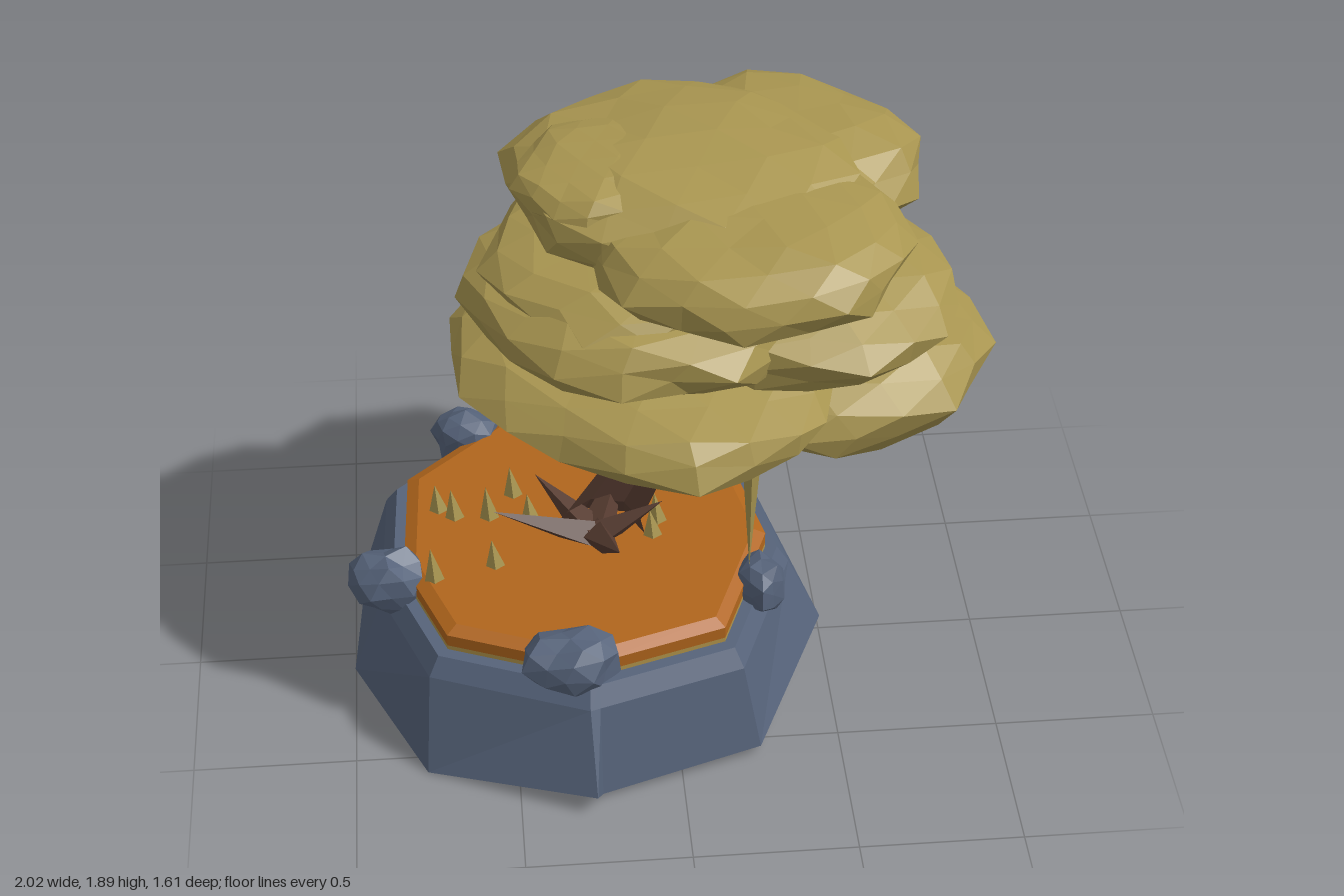
import * as THREE from 'three';

const mat = (name, color) => {
  const m = new THREE.MeshStandardMaterial({ color });
  m.name = name;
  return m;
};

export function createModel() {
  const model = new THREE.Group();
  const leaf = mat('olive foliage', 0xa89550);
  const leafDark = mat('shaded foliage', 0x625f3c);
  const stone = mat('slate stone', 0x56637a);
  const soilMat = mat('orange soil', 0xb0651c);
  const sand = mat('sand layer', 0xb0934a);
  const bark = mat('dark bark', 0x573c31);

  const add = (name, geo, material) => {
    const mesh = new THREE.Mesh(geo, material);
    mesh.name = name;
    model.add(mesh);
    return mesh;
  };

  // Faceted solid through a stack of rings, closed at both ends
  const loft = (rings) => {
    const pos = [];
    const tri = (...pts) => pts.forEach((p) => pos.push(...p));
    const centre = (r) => [0, 1, 2].map((k) => r.reduce((s, p) => s + p[k], 0) / r.length);
    const n = rings[0].length;
    const low = rings[0], high = rings[rings.length - 1];
    for (let i = 0; i < n; i++) {
      const j = (i + 1) % n;
      for (let k = 0; k + 1 < rings.length; k++) {
        const a = rings[k], b = rings[k + 1];
        tri(a[i], a[j], b[j]);
        tri(a[i], b[j], b[i]);
      }
      tri(centre(low), low[j], low[i]);
      tri(centre(high), high[i], high[j]);
    }
    const geo = new THREE.BufferGeometry();
    geo.setAttribute('position', new THREE.Float32BufferAttribute(pos, 3));
    geo.computeVertexNormals();
    return geo;
  };

  // Faceted, blunt-edged ellipsoid with a smooth rule of bumps
  const blob = (radii, seed, detail, bump) => {
    const geo = new THREE.IcosahedronGeometry(1, detail);
    geo.rotateY(seed * 1.7);
    const p = geo.attributes.position;
    for (let i = 0; i < p.count; i++) {
      const x = p.getX(i), y = p.getY(i), z = p.getZ(i);
      const f = 1 + bump * (Math.sin(5.3 * x + seed * 2.1) * Math.cos(4.7 * z - seed)
        + 0.6 * Math.sin(7.9 * y + 6.1 * x - 5.2 * z + seed * 3.3));
      const blunt = Math.sign(y) * Math.abs(y) ** 0.82;
      p.setXYZ(i, x * f * radii[0], blunt * f * radii[1], z * f * radii[2]);
    }
    geo.computeVertexNormals();
    return geo;
  };

  // Cone from a base point to a tip
  const spike = (name, from, to, radius, material, sides = 5) => {
    const a = new THREE.Vector3(...from), d = new THREE.Vector3(...to).sub(a);
    const geo = new THREE.ConeGeometry(radius, d.length(), sides).toNonIndexed();
    geo.computeVertexNormals();
    const mesh = add(name, geo, material);
    mesh.position.copy(a).addScaledVector(d, 0.5);
    mesh.quaternion.setFromUnitVectors(new THREE.Vector3(0, 1, 0), d.normalize());
  };

  // Stone island with a ledge at the front
  const foot = [[-1, 0.05, 0.13], [-0.78, 0, 0.57], [-0.27, 0.07, 0.8], [-0.25, 0.02, 0.73], [0.25, 0.03, 0.57],
    [0.5, 0.07, 0.02], [0.39, 0.05, -0.45], [0.02, 0.02, -0.73], [-0.57, 0, -0.78], [-0.96, 0.03, -0.44]];
  const rim = [[-0.89, 0.1], [-0.75, 0.47], [-0.28, 0.66], [-0.25, 0.65], [0.19, 0.51],
    [0.38, 0.02], [0.3, -0.39], [0.01, -0.65], [-0.54, -0.7], [-0.87, -0.39]];
  const ring = (s, y) => rim.map(([x, z]) => [-0.25 + (x + 0.25) * s, y, z * s]);
  add('stoneBase', loft([foot, ring(1.02, 0.31), ring(0.96, 0.37)]), stone);
  add('sandLayer', loft([ring(0.9, 0.35), ring(0.9, 0.385)]), sand);
  add('soil', loft([ring(0.9, 0.385), ring(0.9, 0.425), ring(0.84, 0.445)]), soilMat);

  // Boulders around the rim
  const boulders = [
    [-0.88, 0.4, 0.12, 0.12, 0.1, 0.1], [-0.61, 0.41, -0.6, 0.11, 0.09, 0.09], [-0.33, 0.41, 0.55, 0.15, 0.09, 0.11],
    [0.28, 0.4, 0.22, 0.08, 0.09, 0.1], [0.12, 0.41, -0.5, 0.11, 0.09, 0.13]];
  boulders.forEach(([x, y, z, ...r], i) => {
    add('boulder', blob(r, i + 1, 1, 0.12), stone).position.set(x, y, z);
  });

  // Leaning trunk: x, y, z, radius of each section
  const sections = [[-0.22, 0.42, 0.01, 0.16], [-0.2, 0.5, 0.01, 0.122], [-0.1, 0.68, 0, 0.1],
    [-0.005, 0.86, -0.02, 0.09], [0.06, 1.02, -0.03, 0.085], [0.14, 1.25, -0.03, 0.075]];
  add('trunk', loft(sections.map(([x, y, z, r]) => Array.from({ length: 7 }, (_, i) => {
    const a = -i * Math.PI * 2 / 7;
    return [x + r * Math.cos(a), y, z - r * Math.sin(a)];
  }))), bark);

  // Pointed roots
  const roots = [[-0.54, 0.58, 0.03], [-0.01, 0.58, 0.02], [-0.16, 0.57, 0.25],
    [-0.1, 0.58, -0.29], [-0.4, 0.54, -0.2]];
  roots.forEach((tip) => spike('root', [-0.22, 0.44, 0], tip, 0.06, bark, 4));

  // Grass spikes on the soil
  const grass = [[-0.04, 0.01], [-0.02, -0.06], [-0.06, -0.18], [-0.42, -0.1], [-0.47, -0.23], [-0.55, -0.12],
    [-0.71, -0.17], [-0.66, -0.13], [-0.73, 0.17], [-0.54, 0.12]];
  grass.forEach(([x, z], i) => {
    spike('grassSpike', [x, 0.43, z], [x - 0.01, 0.54 + 0.01 * (i % 3), z], 0.036, leaf);
  });

  // Stacked foliage pads: turn, centre, radii; only flat undersides take the shaded colour
  const pads = [
    [-0.75, -0.1, 1.21, 0.18, 0.61, 0.14, 0.46], [0, -0.12, 1.23, -0.12, 0.48, 0.13, 0.36],
    [0, 0.48, 1.1, -0.07, 0.51, 0.175, 0.5],
    [-0.6, -0.1, 1.46, 0.14, 0.54, 0.145, 0.47], [0, -0.08, 1.54, 0.02, 0.45, 0.12, 0.5],
    [0, 0.4, 1.42, 0.1, 0.46, 0.15, 0.46], [0, 0.2, 1.37, -0.38, 0.48, 0.15, 0.42],
    [0, 0.05, 1.74, -0.03, 0.52, 0.15, 0.47], [0, 0.22, 1.7, 0.28, 0.46, 0.145, 0.41],
    [0, 0.34, 1.66, -0.22, 0.45, 0.16, 0.43], [0, -0.17, 1.8, 0.02, 0.27, 0.085, 0.28]];
  pads.forEach(([turn, x, y, z, ...r], i) => {
    const geo = blob(r, i + 0.5, 2, 0.06);
    const n = geo.attributes.normal;
    for (let k = 0; k < n.count; k += 3) geo.addGroup(k, 3, n.getY(k) < -0.92 ? 1 : 0);
    const pad = add('foliagePad', geo, [leaf, leafDark]);
    pad.position.set(x, y, z);
    pad.rotation.y = turn;
  });

  // Hanging foliage spikes
  const hanging = [[0.23, 1.12, 0.33, 0.56, 0.04], [0.57, 0.97, -0.14, 0.63, 0.045],
    [-0.17, 1.14, -0.2, 0.84, 0.045], [0.3, 1, -0.31, 0.84, 0.03], [-0.24, 1.14, 0.1, 1.04, 0.03]];
  hanging.forEach(([x, y, z, tip, r]) => spike('hangingSpike', [x, y, z], [x, tip, z], r, leaf));

  return model;
}
